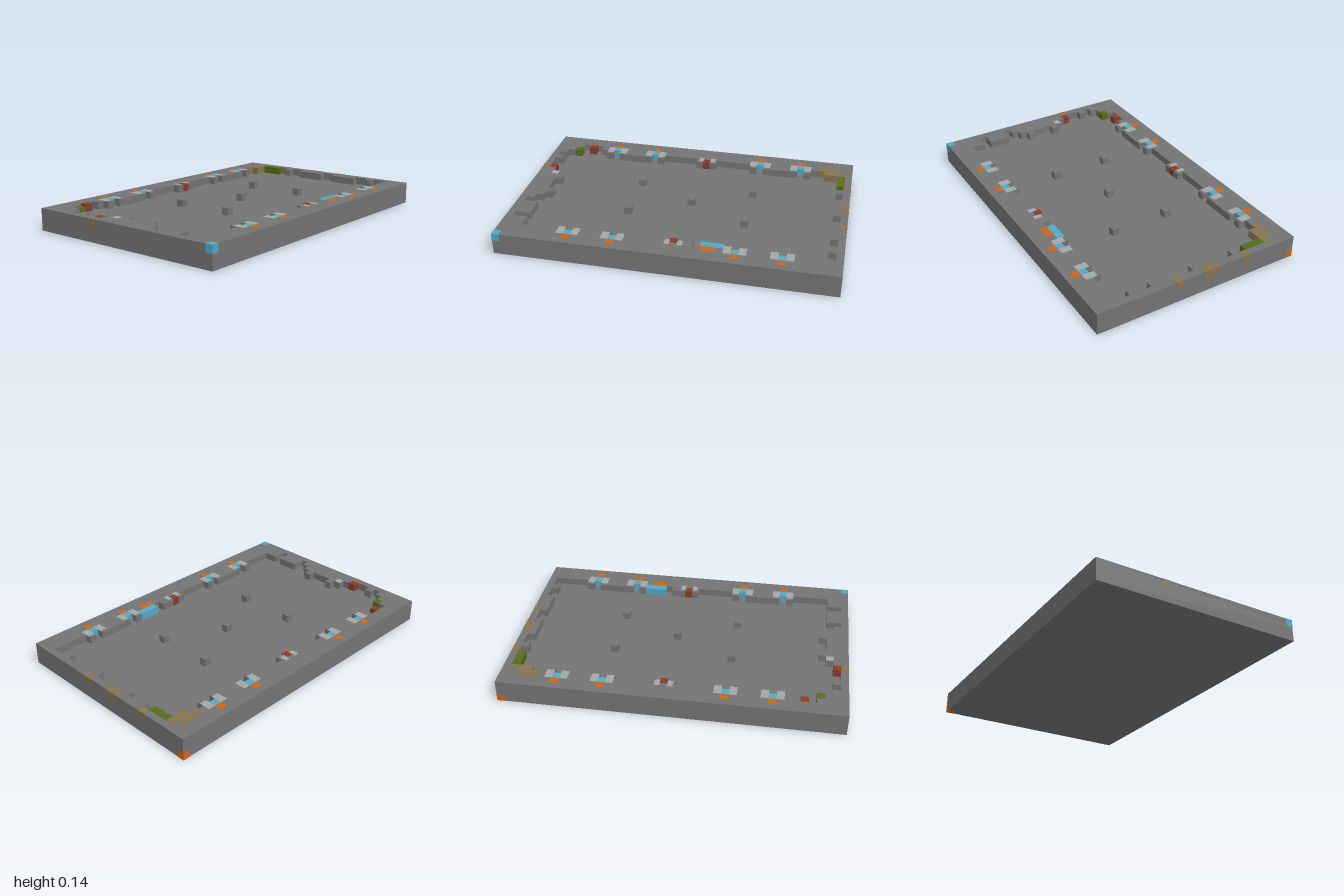
import * as THREE from 'three';

// The tray is laid out on a grid of 29 x 45 cells, three cells high.
const V = 2 / 45, COLS = 29, ROWS = 45;
const X = c => (c - COLS / 2) * V;
const Z = r => (r - ROWS / 2) * V;

const mat = (name, color) => {
  const m = new THREE.MeshStandardMaterial({ color });
  m.name = name;
  return m;
};

// Expands [value, count, value, count, ...] into a plain list
const runs = list => {
  const out = [];
  for (let i = 0; i < list.length; i += 2) for (let k = 0; k < list[i + 1]; k++) out.push(list[i]);
  return out;
};

export function createModel() {
  const stone = mat('stone grey', 0x737373);
  const pale = mat('pale grey', 0xa2a6a5);
  const blue = mat('sky blue', 0x53a6c4);
  const orange = mat('orange', 0xc8661c);
  const red = mat('brick red', 0x873a2b);
  const green = mat('moss green', 0x566b1c);
  const gold = mat('dull gold', 0x867450);

  const group = new THREE.Group();

  // Box covering cells c0..c1, r0..r1 and heights y0..y1, grown a little by e
  const block = (name, material, c0, r0, c1, r1, y0, y1, e = 0) => {
    const g = new THREE.BoxGeometry((c1 - c0) * V + 2 * e, (y1 - y0) * V + 2 * e, (r1 - r0) * V + 2 * e);
    const mesh = new THREE.Mesh(g, material);
    mesh.position.set((X(c0) + X(c1)) / 2, (y0 + y1) / 2 * V, (Z(r0) + Z(r1)) / 2);
    mesh.name = name;
    group.add(mesh);
  };
  // Coloured cells set in the rim
  const inlay = (name, material, c, r, w = 1, d = 1) =>
    block(name, material, c, r, c + w, r + d, 2, 3, 0.001);

  // Base slab, whose top is the floor
  block('baseSlab', stone, 0, 0, COLS, ROWS, 0, 2);

  // Stepped inner edge of the rim, one value per column or row
  const back = runs([2, 3, 1, 1, 2, 1, 1, 2, 2, 4, 1, 2, 2, 4, 1, 2, 2, 1, 1, 2]);
  const right = runs([26, 4, 25, 1, 26, 1, 25, 5, 26, 1, 25, 4, 26, 1, 25, 4,
    26, 5, 25, 1, 26, 1, 25, 5, 26, 1, 25, 1, 26, 5]);
  const front = runs([43, 1, 44, 1, 43, 1, 44, 2, 43, 2, 42, 1, 41, 1, 42, 3, 41, 1,
    42, 1, 43, 1, 44, 1, 42, 3, 44, 1, 42, 2]);
  const left = runs([4, 2, 3, 2, 4, 1, 3, 1, 4, 5, 3, 1, 4, 1, 3, 5, 4, 3, 3, 5,
    4, 1, 3, 1, 4, 5, 3, 1, 4, 1, 3, 1, 2, 1, 3, 1, 2, 1, 4, 2]);

  const outline = [];
  const add = (c, r) => {
    const last = outline[outline.length - 1];
    if (!last || last[0] !== c || last[1] !== r) outline.push([c, r]);
  };
  back.forEach((r, i) => { add(4 + i, r); add(5 + i, r); });
  right.forEach((c, i) => { add(c, 2 + i); add(c, 3 + i); });
  for (let i = front.length - 1; i >= 0; i--) { add(5 + i, front[i]); add(4 + i, front[i]); }
  for (let i = left.length - 1; i >= 0; i--) { add(left[i], 3 + i); add(left[i], 2 + i); }
  const first = outline[0], last = outline[outline.length - 1];
  if (first[0] === last[0] && first[1] === last[1]) outline.pop();

  const toPoint = ([c, r]) => new THREE.Vector2(X(c), -Z(r));
  const shape = new THREE.Shape([[0, ROWS], [COLS, ROWS], [COLS, 0], [0, 0]].map(toPoint));
  shape.holes.push(new THREE.Path(outline.map(toPoint)));
  const rim = new THREE.Mesh(new THREE.ExtrudeGeometry(shape, { depth: V, bevelEnabled: false }), stone);
  rim.rotation.x = -Math.PI / 2;
  rim.position.y = 2 * V;
  rim.name = 'rim';
  group.add(rim);

  // Small blocks standing on the floor
  for (const [c, r] of [[10, 13], [18, 13], [14, 21], [10, 29], [18, 29]])
    block('floorBlock', stone, c, r, c + 1, r + 1, 2, 3);

  // Paired side posts with pale caps, mirrored across x
  for (const side of [-1, 1]) {
    const col = (c, w) => side < 0 ? c : COLS - c - w;
    const cap = (c, r, w, d) => block('paleCap', pale, col(c, w), r, col(c, w) + w, r + d, 2.97, 3.03);
    for (const r of [7, 13, 29, 35]) {
      inlay('blueNiche', blue, col(2, 1), r);
      inlay('orangeMark', orange, col(1, 1), r);
      cap(2, r - 1, 1.6, 1);
      cap(2, r + 1, 1.6, 1);
    }
    inlay('redPost', red, col(3, 1), 21);
    cap(2.5, 20.3, 1.1, 0.7);
    cap(2.5, 22, 1.1, 0.7);
  }

  // Single coloured blocks around the rim
  inlay('bluePanel', blue, 25, 15, 1, 3);
  inlay('orangePanel', orange, 26, 16, 1, 2);
  inlay('greenPanel', green, 4, 1, 3, 1);
  inlay('goldCorner', gold, 3, 1, 1, 3);
  inlay('goldCorner', gold, 2, 2, 1, 3);
  inlay('goldMark', gold, 7, 0);
  inlay('goldMark', gold, 12, 0, 2, 1);
  inlay('goldMark', gold, 17, 0);
  inlay('goldMark', gold, 9, 44);
  inlay('redBlock', red, 9, 43);
  inlay('redBlock', red, 2, 39);
  block('goldStrip', gold, 1.6, 39, 2, 40, 2.97, 3.03);
  inlay('greenBlock', green, 3, 41);
  block('paleCap', pale, 11, 42, 11.9, 43, 2.97, 3.03);
  inlay('blueCorner', blue, 28, 44);
  block('orangeCorner', orange, 0, 0, 1, 1, 0, 1, 0.001);

  return group;
}
